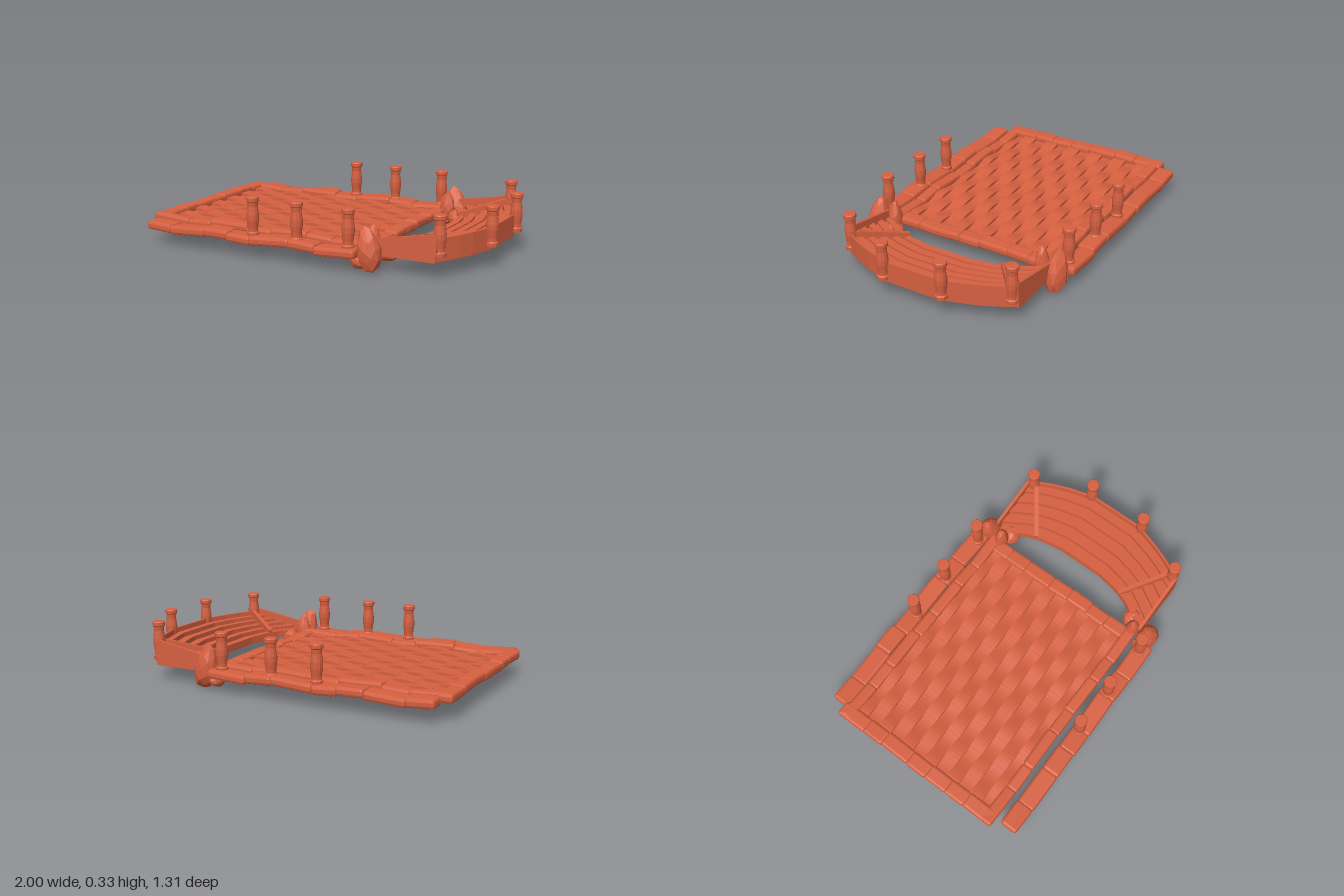
import * as THREE from 'three';
import { RoundedBoxGeometry } from 'three/addons/geometries/RoundedBoxGeometry.js';
import { mergeVertices } from 'three/addons/utils/BufferGeometryUtils.js';

const clay = new THREE.MeshStandardMaterial({ color: 0xd66040, flatShading: true, side: THREE.DoubleSide });
const CZ = -0.015; // z of the symmetry line

let seed = 7;
const rand = () => {
  seed = (seed * 16807) % 2147483647;
  return seed / 2147483647 - 0.5;
};

// gentle rise and fall of the paving along x, and its slope
const K = (2 * Math.PI) / 0.48;
const wave = (x) => 0.008 * Math.cos(K * (x + 0.5));
const slope = (x) => -0.008 * K * Math.sin(K * (x + 0.5));

function add(parent, name, geometry, x = 0, y = 0, z = 0) {
  const mesh = new THREE.Mesh(geometry, clay);
  mesh.name = name;
  mesh.position.set(x, y, z);
  parent.add(mesh);
  return mesh;
}

// row of worn kerb stones between the listed cuts, along x or z
function kerb(parent, name, cuts, alongX, fixed, width, height, y) {
  for (let i = 0; i < cuts.length - 1; i++) {
    const mid = (cuts[i] + cuts[i + 1]) / 2;
    const len = cuts[i + 1] - cuts[i] + 0.008;
    const off = fixed + rand() * 0.008;
    const g = new RoundedBoxGeometry(alongX ? len : width, height, alongX ? width : len, 1, 0.015);
    const stone = alongX
      ? add(parent, name, g, mid, y + wave(mid), off)
      : add(parent, name, g, off, y + rand() * 0.01, mid);
    stone.rotation.set(rand() * 0.09, rand() * 0.06, alongX ? slope(mid) * 0.6 : rand() * 0.1);
  }
}

// rows of undulating paving; neighbouring rows rise and fall in turn
function paving() {
  const group = new THREE.Group();
  group.name = 'paving';
  const rows = 12, pitch = 0.081, period = 0.265, length = period / 2;
  for (let r = 0; r < rows; r++) {
    const z = -0.495 + (r + 0.5) * pitch;
    for (let i = 0; i < 10; i++) {
      const x = -0.895 + i * length;
      const g = new THREE.BoxGeometry(length - 0.001, 0.034, pitch + 0.002, 6, 1, 1);
      const p = g.attributes.position;
      for (let v = 0; v < p.count; v++) {
        const px = x + p.getX(v);
        const ripple = 0.009 * Math.sin((2 * Math.PI * (px + 0.3)) / period) * (r % 2 ? 1 : -1);
        p.setY(v, p.getY(v) + ripple + wave(px) * 0.4);
      }
      g.computeVertexNormals();
      add(group, 'pavingTile', g, x, 0.102, z);
    }
  }
  return group;
}

// turned post, base at y = 0
const postGeometry = new THREE.LatheGeometry([
  [0, 0], [0.034, 0], [0.035, 0.02], [0.028, 0.027], [0.028, 0.045], [0.034, 0.09], [0.034, 0.12],
  [0.028, 0.165], [0.03, 0.19], [0.036, 0.195], [0.036, 0.213], [0.032, 0.218], [0, 0.218],
].map((p) => new THREE.Vector2(...p)), 12);

// inner and outer lines of the curved seating, as [x, z] from its middle
const half = [
  [[0.592, 0.14], [0.957, 0.165]], [[0.57, 0.27], [0.91, 0.32]],
  [[0.535, 0.37], [0.87, 0.42]], [[0.44, 0.52], [0.807, 0.54]],
];
const ribs = [...half].reverse().map((r) => r.map(([x, z]) => [x, CZ - z]))
  .concat(half.map((r) => r.map(([x, z]) => [x, CZ + z])));

// sweep a profile of [t, y] along the ribs; t = 0 inner line, t = 1 outer line
function sweep(profile) {
  const pos = [], index = [], n = profile.length;
  for (const [a, b] of ribs) {
    for (const [t, y] of profile) pos.push(a[0] + (b[0] - a[0]) * t, y, a[1] + (b[1] - a[1]) * t);
  }
  for (let i = 0; i < ribs.length - 1; i++) {
    for (let j = 0; j < n - 1; j++) {
      const k = i * n + j;
      index.push(k, k + n, k + 1, k + 1, k + n, k + n + 1);
    }
  }
  const g = new THREE.BufferGeometry();
  g.setAttribute('position', new THREE.Float32BufferAttribute(pos, 3));
  g.setIndex(index);
  g.computeVertexNormals();
  return g;
}

function seating() {
  const group = new THREE.Group();
  group.name = 'curvedSeating';
  // stepped shell: each row has a raised seat edge and a lower footway
  const steps = 5, profile = [[0.06, 0.09], [0, 0.09], [0, 0.135]];
  for (let i = 0; i < steps; i++) {
    const y = 0.135 + i * 0.014;
    profile.push([(i + 0.55) / steps, y], [(i + 0.55) / steps, y - 0.012],
      [(i + 1) / steps, y - 0.012], [(i + 1) / steps, y + 0.014]);
  }
  add(group, 'steps', sweep(profile));
  add(group, 'backWall', sweep([[0.96, 0.105], [1, 0.105], [1, 0.213], [0.96, 0.213], [0.96, 0.105]]));
  add(group, 'plinth', sweep([[0.9, 0.09], [0.985, 0.09], [0.985, 0.105], [0.9, 0.105], [0.9, 0.09]]));

  for (const s of [-1, 1]) {
    // end wall that rises towards the back
    const side = new THREE.Shape([[0.43, 0.085], [0.8, 0.085], [0.81, 0.235], [0.43, 0.17]]
      .map((p) => new THREE.Vector2(...p)));
    add(group, 'endWall', new THREE.ExtrudeGeometry(side, { depth: 0.018, bevelEnabled: false }),
      0, 0, CZ + s * 0.535 - 0.009);
    // sloping divider across the steps
    const a = new THREE.Vector3(0.56, 0.13, CZ + s * 0.305);
    const b = new THREE.Vector3(0.805, 0.208, CZ + s * 0.485);
    const bar = add(group, 'divider', new THREE.BoxGeometry(0.024, 0.045, a.distanceTo(b)));
    bar.position.copy(a).lerp(b, 0.5);
    bar.lookAt(b);
    // posts along the back
    add(group, 'backPost', postGeometry, 0.807, 0.115, CZ + s * 0.507);
    add(group, 'backPost', postGeometry, 0.96, 0.115, CZ + s * 0.182);
  }
  return group;
}

// boulder: a faceted ball with uneven radius, narrowing to the top
function boulder(parent, x, y, z, rx, ry, rz, lean = 0, taper = 0) {
  const ball = new THREE.IcosahedronGeometry(1, 1);
  ball.deleteAttribute('normal');
  ball.deleteAttribute('uv');
  const g = mergeVertices(ball, 1e-3);
  const p = g.attributes.position;
  for (let i = 0; i < p.count; i++) {
    const k = 1 + rand() * 0.16, w = k * (1 - taper * p.getY(i));
    p.setXYZ(i, p.getX(i) * w * rx, p.getY(i) * k * ry, p.getZ(i) * w * rz);
  }
  g.computeVertexNormals();
  add(parent, 'boulder', g, x, y, z).rotation.z = lean;
}

export function createModel() {
  const model = new THREE.Group();
  model.name = 'pavedTerrace';
  model.add(paving());

  // inner kerb around the paving
  const kerbs = new THREE.Group();
  kerbs.name = 'kerbs';
  model.add(kerbs);
  const inner = [-0.99, -0.755, -0.6, -0.355, -0.2, 0.03, 0.185, 0.42];
  for (const z of [-0.508, 0.482]) kerb(kerbs, 'innerKerbStone', inner, true, z, 0.068, 0.048, 0.118);
  const across = [-0.56, -0.38, -0.25, -0.07, 0.06, 0.2, 0.325, 0.51];
  kerb(kerbs, 'endKerbStone', across, false, -0.953, 0.088, 0.05, 0.125);
  kerb(kerbs, 'endKerbStone', across.map((z) => Math.max(z, -0.53)), false, 0.378, 0.085, 0.05, 0.106);

  for (const s of [-1, 1]) {
    // outer kerb with its posts
    const outer = [-0.935, -0.78, -0.55, -0.395, -0.25, -0.005, 0.155, 0.39];
    kerb(kerbs, 'outerKerbStone', outer, true, s * 0.602, 0.104, 0.05, 0.104);
    for (const x of [-0.255, 0.022, 0.335]) add(model, 'sidePost', postGeometry, x, 0.115, s * 0.59);
    // boulders where kerb and seating meet
    boulder(model, 0.445, 0.123, s * 0.575, 0.066, 0.123, 0.06, 0.2, 0.25);
    boulder(model, 0.39, 0.05, s * 0.565, 0.05, 0.038, 0.05);
    boulder(model, 0.425, 0.145, s * 0.48, 0.045, 0.09, 0.04, 0, 0.3);
    boulder(model, 0.495, 0.085, CZ + s * 0.45, 0.058, 0.05, 0.055, 0.5);
  }

  model.add(seating());
  return model;
}
